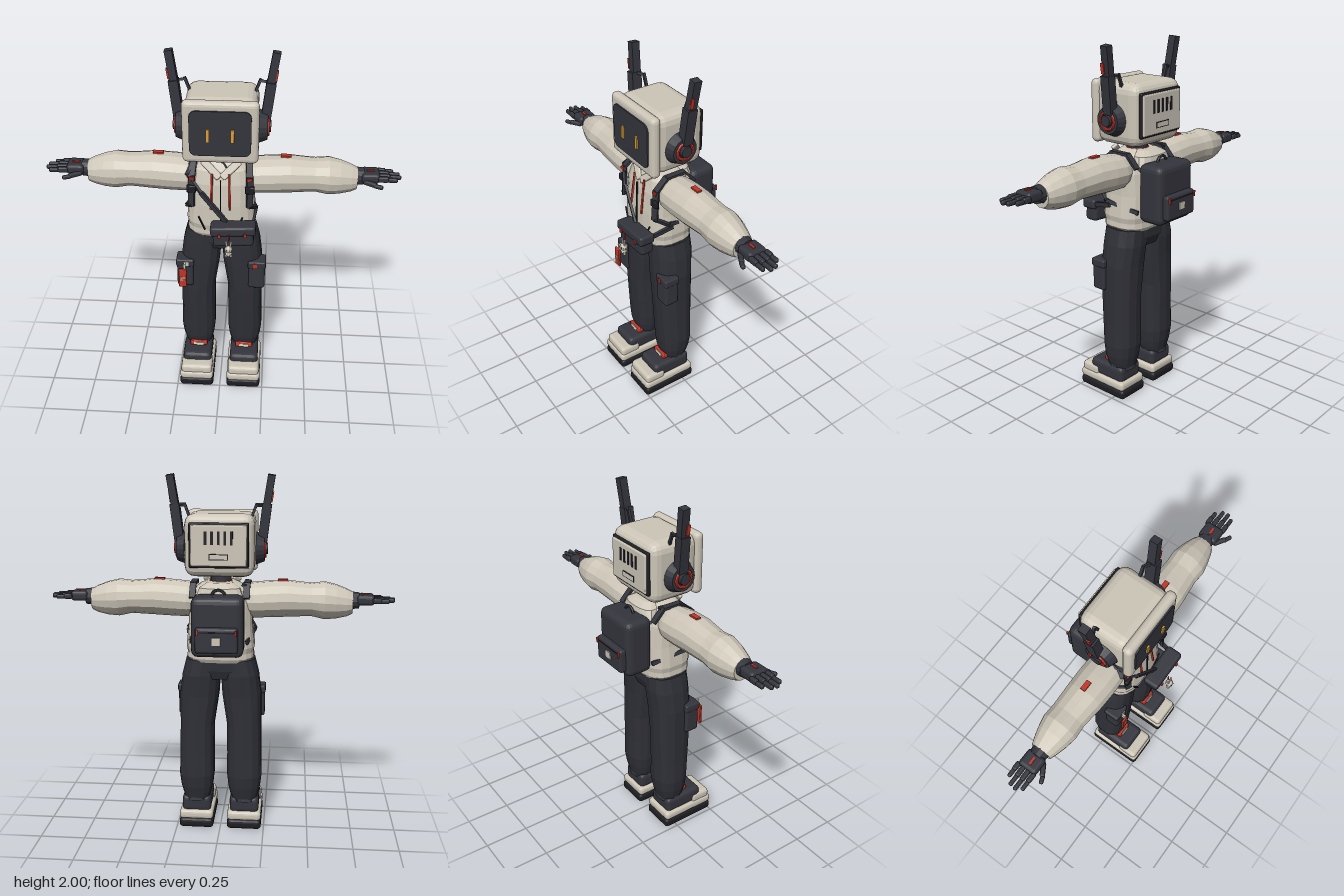
import * as THREE from 'three';
import { RoundedBoxGeometry } from 'three/addons/geometries/RoundedBoxGeometry.js';

const mat = (name, color) => {
  const m = new THREE.MeshStandardMaterial({ color });
  m.name = name;
  return m;
};

// Closed loft along y; each section is [y, cx, cz, rx, rz], n squares off the outline
function loft(sections, sides = 14, n = 2) {
  const pos = [], idx = [];
  const sp = (v) => Math.sign(v) * Math.abs(v) ** (2 / n);
  for (const [y, cx, cz, rx, rz] of sections)
    for (let i = 0; i < sides; i++) {
      const a = ((i + 0.5) / sides) * Math.PI * 2;
      pos.push(cx + rx * sp(Math.cos(a)), y, cz + rz * sp(Math.sin(a)));
    }
  const last = sections.length - 1;
  for (let j = 0; j < last; j++)
    for (let i = 0; i < sides; i++) {
      const a = j * sides + i, b = j * sides + (i + 1) % sides, c = a + sides, d = b + sides;
      idx.push(a, c, d, a, d, b);
    }
  for (let i = 1; i < sides - 1; i++) {
    const t = last * sides;
    idx.push(0, i, i + 1, t, t + i + 1, t + i);
  }
  const g = new THREE.BufferGeometry();
  g.setAttribute('position', new THREE.Float32BufferAttribute(pos, 3));
  g.setIndex(idx);
  return g;
}

const box = (w, h, d) => new THREE.BoxGeometry(w, h, d);
const rbox = (w, h, d, r) => new RoundedBoxGeometry(w, h, d, 2, r);
const cyl = (r1, r2, h, s = 16) => new THREE.CylinderGeometry(r1, r2, h, s);
const ball = (r) => new THREE.SphereGeometry(r, 10, 7);

// Box stretched from point a to point b
function bar(a, b, w, d) {
  const p = new THREE.Vector3(...a), q = new THREE.Vector3(...b);
  const dir = q.clone().sub(p);
  const g = box(w, dir.length() + 0.008, d);
  g.applyQuaternion(new THREE.Quaternion().setFromUnitVectors(new THREE.Vector3(0, 1, 0), dir.normalize()));
  const c = p.add(q).multiplyScalar(0.5);
  return g.translate(c.x, c.y, c.z);
}

export function createModel() {
  const root = new THREE.Group();
  const cream = mat('cream', 0xcdc6b8), dark = mat('charcoal', 0x34353d), pants = mat('trouser grey', 0x2f3037);
  const black = mat('black', 0x1e1e23), red = mat('red', 0xc23427), amber = mat('amber', 0xd9a03c);

  // Bakes placement, mirrors for side -1, and facets the surface
  function part(name, geo, m, p = [0, 0, 0], r = [0, 0, 0], side = 1) {
    const g = geo.index ? geo.toNonIndexed() : geo;
    g.rotateX(r[0]).rotateY(r[1]).rotateZ(r[2]).translate(...p);
    if (side < 0) {
      g.scale(-1, 1, 1);
      const a = g.attributes.position, u = new THREE.Vector3(), v = new THREE.Vector3();
      for (let i = 0; i < a.count; i += 3) {
        u.fromBufferAttribute(a, i + 1);
        v.fromBufferAttribute(a, i + 2);
        a.setXYZ(i + 1, v.x, v.y, v.z);
        a.setXYZ(i + 2, u.x, u.y, u.z);
      }
    }
    g.computeVertexNormals();
    const mesh = new THREE.Mesh(g, m);
    mesh.name = name;
    root.add(mesh);
  }
  const H = Math.PI / 2;

  // Head with framed screen
  part('head', rbox(0.37, 0.33, 0.29, 0.055), cream, [0, 1.635, 0.01]);
  part('screenFrame', rbox(0.385, 0.335, 0.055, 0.025), cream, [0, 1.637, 0.155]);
  const screen = new THREE.Shape();
  const sw = 0.155, sh = 0.122, sr = 0.035;
  screen.absarc(sw - sr, sh - sr, sr, 0, H).absarc(-sw + sr, sh - sr, sr, H, 2 * H);
  screen.absarc(-sw + sr, -sh + sr, sr, 2 * H, 3 * H).absarc(sw - sr, -sh + sr, sr, 3 * H, 4 * H);
  part('screen', new THREE.ExtrudeGeometry(screen, { depth: 0.009, bevelEnabled: false, curveSegments: 4 }), dark, [0, 1.64, 0.181]);
  for (const x of [-0.062, 0.062]) part('eye', box(0.018, 0.07, 0.009), amber, [x, 1.632, 0.194]);

  // Rear panel with vents and label
  part('rearPanelRim', rbox(0.315, 0.235, 0.02, 0.008), black, [0, 1.64, -0.134]);
  part('rearPanel', rbox(0.295, 0.215, 0.022, 0.008), cream, [0, 1.64, -0.142]);
  for (let i = -2; i <= 2; i++) part('vent', box(0.014, 0.07, 0.006), black, [i * 0.034, 1.68, -0.153]);
  part('labelRim', box(0.1, 0.032, 0.005), black, [0, 1.582, -0.153]);
  part('label', box(0.09, 0.023, 0.007), cream, [0, 1.582, -0.153]);

  // Neck and collar
  part('neck', cyl(0.055, 0.06, 0.14), dark, [0, 1.43, 0.02]);
  part('neckRing', new THREE.TorusGeometry(0.056, 0.013, 6, 20), red, [0, 1.425, 0.02], [H, 0, 0]);

  // Hooded top
  part('torso', loft([[1.0, 0, 0.02, 0.172, 0.125], [1.02, 0, 0.02, 0.185, 0.135], [1.05, 0, 0.02, 0.182, 0.135],
    [1.08, 0, 0.02, 0.188, 0.142], [1.2, 0, 0.02, 0.175, 0.138], [1.32, 0, 0.02, 0.175, 0.125],
    [1.39, 0, 0.02, 0.155, 0.105], [1.42, 0, 0.02, 0.11, 0.085], [1.435, 0, 0.02, 0.075, 0.07]], 20, 3), cream);
  part('hood', loft([[1.32, 0, -0.085, 0.1, 0.03], [1.36, 0, -0.085, 0.13, 0.05], [1.41, 0, -0.07, 0.11, 0.055],
    [1.435, 0, -0.05, 0.07, 0.035]], 14, 2.4), cream);
  part('zip', box(0.006, 0.31, 0.008), black, [0, 1.2, 0.16], [-0.03, 0, 0]);
  part('neckOpening', box(0.05, 0.05, 0.008), dark, [0, 1.41, 0.098], [-0.5, 0, H / 2]);

  for (const s of [1, -1]) {
    const add = (name, geo, m, p, r) => part(name, geo, m, p, r, s);
    // Ear cup and antenna
    add('earCup', cyl(0.07, 0.088, 0.045, 20), dark, [0.212, 1.61, 0.02], [0, 0, -H]);
    add('earRing', new THREE.TorusGeometry(0.045, 0.009, 6, 20), red, [0.235, 1.61, 0.02], [0, H, 0]);
    add('earCap', cyl(0.03, 0.034, 0.03, 14), dark, [0.236, 1.61, 0.02], [0, 0, -H]);
    add('antennaBase', bar([0.222, 1.65, 0.01], [0.245, 1.84, 0.003], 0.05, 0.055), dark);
    add('antennaTip', bar([0.24, 1.82, 0], [0.267, 1.992, -0.01], 0.04, 0.044), dark);
    add('antennaMark', box(0.008, 0.055, 0.02), red, [0.272, 1.88, 0.012], [0, 0, -0.15]);
    add('antennaBrace', bar([0.235, 1.84, 0], [0.19, 1.84, -0.02], 0.014, 0.014), dark);
    add('antennaBrace', bar([0.19, 1.845, -0.02], [0.168, 1.785, -0.02], 0.014, 0.014), dark);

    // Sleeve, laid along x
    const sleeve = loft([[0.12, -1.33, 0.025, 0.085, 0.09], [0.18, -1.33, 0.025, 0.097, 0.105], [0.26, -1.335, 0.025, 0.1, 0.108],
      [0.36, -1.34, 0.025, 0.1, 0.105], [0.43, -1.338, 0.022, 0.094, 0.1], [0.49, -1.337, 0.02, 0.09, 0.096],
      [0.56, -1.333, 0.02, 0.102, 0.1], [0.62, -1.328, 0.02, 0.093, 0.088], [0.68, -1.323, 0.02, 0.075, 0.07],
      [0.71, -1.322, 0.02, 0.06, 0.058]], 14);
    add('sleeve', sleeve, cream, [0, 0, 0], [0, 0, -H]);
    add('shoulderPatch', box(0.055, 0.009, 0.027), red, [0.335, 1.441, 0.02]);

    // Gloved hand
    add('gloveCuff', cyl(0.044, 0.048, 0.04, 12), dark, [0.725, 1.335, 0.02], [0, 0, -H]);
    add('palm', rbox(0.095, 0.055, 0.105, 0.018), dark, [0.778, 1.342, 0.022]);
    add('gloveTab', box(0.04, 0.008, 0.012), red, [0.777, 1.371, 0.025]);
    [0.1, 0.12, 0.115, 0.085].forEach((len, i) => {
      const z = 0.065 - i * 0.031, half = len * 0.55;
      add('knuckle', rbox(half, 0.03, 0.025, 0.009), dark, [0.815 + half / 2, 1.342, z]);
      add('fingertip', rbox(len - half + 0.012, 0.024, 0.021, 0.009), dark, [0.812 + (len + half) / 2, 1.339, z]);
    });
    add('thumb', rbox(0.075, 0.026, 0.026, 0.01), dark, [0.775, 1.325, 0.083], [0, -0.55, 0]);
    add('thumbTip', rbox(0.05, 0.022, 0.022, 0.009), dark, [0.815, 1.322, 0.108], [0, -0.4, 0]);

    // Collar flap, drawstring, front pocket seam
    add('collarFlap', rbox(0.125, 0.04, 0.02, 0.008), cream, [0.05, 1.402, 0.118], [-0.4, 0.25, 0.75]);
    add('drawstring', bar([0.045, 1.38, 0.14], [0.05, 1.19, 0.164], 0.009, 0.009), red);
    add('pocketSeam', bar([0.115, 1.13, 0.157], [0.085, 1.06, 0.162], 0.006, 0.008), black);

    // Shoulder strap with buckle
    const path = [[0.145, 1.36, -0.1], [0.145, 1.425, -0.04], [0.145, 1.425, 0.07], [0.15, 1.37, 0.135],
      [0.153, 1.2, 0.148], [0.185, 1.16, 0.08], [0.15, 1.12, -0.11]];
    for (let i = 0; i < path.length - 1; i++) add('shoulderStrap', bar(path[i], path[i + 1], i > 3 ? 0.014 : 0.034, i > 3 ? 0.022 : 0.014), dark);
    add('strapBuckle', rbox(0.05, 0.04, 0.024, 0.006), black, [0.152, 1.3, 0.147]);
    add('strapTag', box(0.028, 0.014, 0.009), red, [0.15, 1.36, 0.148]);

    // Trouser leg
    add('trouserLeg', loft([[0.17, 0.135, 0.015, 0.07, 0.07], [0.21, 0.135, 0.015, 0.083, 0.08], [0.25, 0.136, 0.015, 0.092, 0.09],
      [0.32, 0.136, 0.013, 0.1, 0.098], [0.45, 0.134, 0.018, 0.098, 0.102], [0.62, 0.132, 0.022, 0.097, 0.108],
      [0.8, 0.118, 0.022, 0.11, 0.111], [0.92, 0.107, 0.016, 0.106, 0.116], [1.01, 0.095, 0.016, 0.095, 0.113]], 14, 2.5), pants);
    add('cargoPocket', rbox(0.092, 0.165, 0.085, 0.015), dark, [0.199, 0.735, 0.095]);
    add('pocketFlap', rbox(0.1, 0.045, 0.093, 0.01), dark, [0.199, 0.81, 0.096]);
    add('flapTag', box(0.022, 0.03, 0.008), s > 0 ? red : cream, [0.19, 0.81, 0.143]);

    // Shoe
    add('sole', rbox(0.196, 0.056, 0.33, 0.02), black, [0.137, 0.028, 0.095]);
    add('midsole', rbox(0.194, 0.054, 0.325, 0.02), cream, [0.137, 0.077, 0.098]);
    add('toeCap', rbox(0.18, 0.06, 0.125, 0.02), cream, [0.137, 0.116, 0.19]);
    add('shoeUpper', rbox(0.165, 0.095, 0.24, 0.025), dark, [0.137, 0.14, 0.072]);
    add('shoeCollar', cyl(0.07, 0.08, 0.05, 14), dark, [0.137, 0.19, 0.018]);
    add('shoeTongue', rbox(0.1, 0.03, 0.035, 0.008), red, [0.134, 0.2, 0.094], [-0.3, 0, 0]);
    add('tongueLabel', box(0.055, 0.016, 0.008), cream, [0.134, 0.202, 0.113], [-0.3, 0, 0]);
  }
  part('waist', loft([[0.9, 0, 0.016, 0.13, 0.095], [0.95, 0, 0.016, 0.19, 0.113], [1.02, 0, 0.016, 0.178, 0.116]], 20, 3), pants);

  // Red tag hung on the right thigh
  part('thighTag', rbox(0.045, 0.12, 0.014, 0.005), red, [-0.21, 0.73, 0.165]);
  for (const y of [0.735, 0.72]) part('tagStripe', box(0.028, 0.005, 0.004), cream, [-0.21, y, 0.173]);
  part('tagLoop', box(0.012, 0.04, 0.03), cream, [-0.2, 0.8, 0.15]);

  // Backpack
  part('backpack', rbox(0.275, 0.32, 0.155, 0.035), dark, [0, 1.225, -0.178]);
  part('backpackPocket', rbox(0.225, 0.135, 0.05, 0.015), dark, [0, 1.165, -0.263]);
  part('pocketZip', box(0.2, 0.006, 0.006), black, [0, 1.21, -0.288]);
  part('pocketPatch', box(0.045, 0.04, 0.008), cream, [0, 1.165, -0.29]);
  for (const x of [-0.1, 0.1]) part('zipPull', box(0.01, 0.03, 0.012), red, [x, 1.21, -0.29]);
  part('carryLoop', new THREE.TorusGeometry(0.035, 0.008, 6, 12, Math.PI), dark, [0, 1.375, -0.15]);

  // Crossbody bag and strap
  part('bag', rbox(0.215, 0.125, 0.08, 0.02), dark, [0.07, 1.07, 0.21], [0, 0, 0.06]);
  part('bagFlap', rbox(0.24, 0.055, 0.09, 0.015), dark, [0.07, 1.105, 0.215], [0, 0, 0.06]);
  for (const x of [0.0, 0.135]) part('bagStud', box(0.016, 0.02, 0.008), red, [x, 1.083 + x * 0.06, 0.263]);
  const sling = [[-0.13, 1.42, -0.05], [-0.15, 1.425, 0.06], [-0.172, 1.37, 0.125], [-0.1, 1.285, 0.165], [0.03, 1.13, 0.19]];
  for (let i = 0; i < sling.length - 1; i++) part('bagStrap', bar(sling[i], sling[i + 1], 0.026, 0.014), dark);
  part('bagStrap', bar([0.17, 1.11, 0.19], [0.188, 1.14, 0.06], 0.014, 0.026), dark);

  // Rabbit charm
  part('charmCord', box(0.006, 0.04, 0.006), red, [0.05, 1.075, 0.268]);
  part('charmHead', ball(0.021), cream, [0.05, 1.015, 0.279]);
  part('charmBody', ball(0.018), cream, [0.05, 0.988, 0.279]);
  for (const d of [-1, 1]) {
    part('charmEar', rbox(0.011, 0.04, 0.01, 0.004), cream, [0.05 + d * 0.011, 1.045, 0.279], [0, 0, -d * 0.15]);
    part('charmEye', box(0.004, 0.006, 0.004), black, [0.05 + d * 0.008, 1.018, 0.298]);
    part('charmFoot', ball(0.009), cream, [0.05 + d * 0.012, 0.975, 0.282]);
  }
  return root;
}
